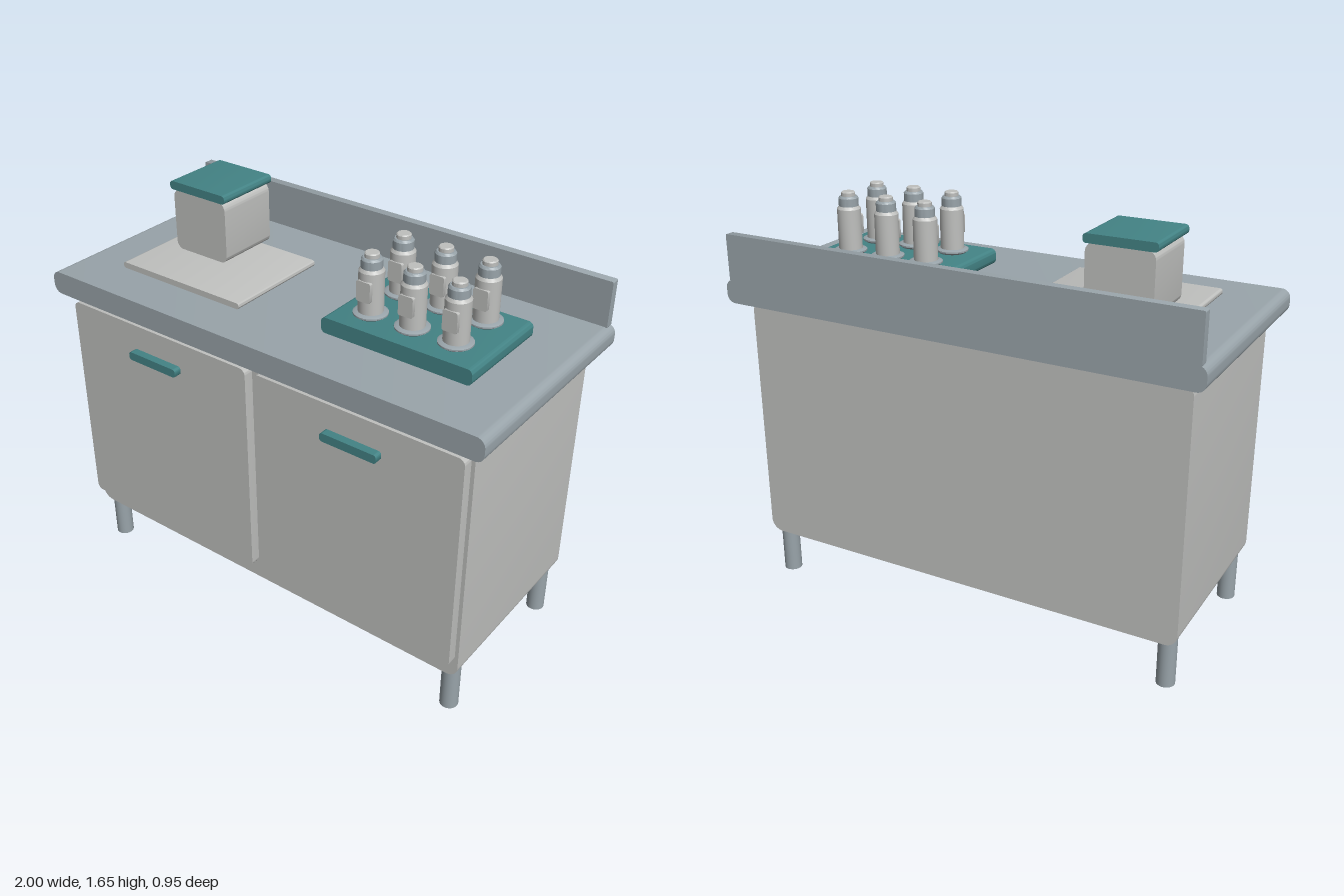
import * as THREE from 'three';
import { toCreasedNormals } from 'three/addons/utils/BufferGeometryUtils.js';

const material = (name, color) => {
  const m = new THREE.MeshStandardMaterial({ color });
  m.name = name;
  return m;
};

// Slab whose front outline has rounded corners, extruded straight along z
function slabGeometry(x0, x1, y0, y1, z0, z1, r) {
  const s = new THREE.Shape();
  s.moveTo(x0 + r, y0);
  s.absarc(x1 - r, y0 + r, r, -Math.PI / 2, 0, false);
  s.absarc(x1 - r, y1 - r, r, 0, Math.PI / 2, false);
  s.absarc(x0 + r, y1 - r, r, Math.PI / 2, Math.PI, false);
  s.absarc(x0 + r, y0 + r, r, Math.PI, Math.PI * 1.5, false);
  const g = new THREE.ExtrudeGeometry(s, { depth: z1 - z0, bevelEnabled: false, curveSegments: 6 });
  g.translate(0, 0, z0);
  return toCreasedNormals(g, 0.6);
}

function lathe(points) {
  const g = new THREE.LatheGeometry(points.map(([x, y]) => new THREE.Vector2(x, y)), 24);
  return toCreasedNormals(g, 0.5);
}

export function createModel() {
  const model = new THREE.Group();
  model.name = 'kitchenCounter';
  const pale = material('paleGrey', 0xbfc0be);
  const steel = material('steelGrey', 0x99a4aa);
  const teal = material('teal', 0x438385);

  const add = (name, geometry, mat, parent = model) => {
    const mesh = new THREE.Mesh(geometry, mat);
    mesh.name = name;
    parent.add(mesh);
    return mesh;
  };
  const slab = (name, mat, ...dims) => add(name, slabGeometry(...dims), mat);

  // Cabinet, worktop and splashback
  slab('cabinet', pale, -0.935, 0.935, 0.2, 1.245, -0.4, 0.4, 0.05);
  slab('worktop', steel, -1, 1, 1.245, 1.34, -0.472, 0.466, 0.035);
  slab('splashback', steel, -0.98, 0.98, 1.335, 1.525, -0.472, -0.436, 0.006);

  // Doors with handles, and legs
  const legGeometry = new THREE.CylinderGeometry(0.037, 0.037, 0.21, 24);
  for (const [side, s] of [['right', -1], ['left', 1]]) {
    const c = s * 0.47;
    slab(side + 'Door', pale, c - 0.45, c + 0.45, 0.277, 1.215, 0.4, 0.442, 0.025);
    slab(side + 'Handle', teal, c - 0.122, c + 0.122, 1.075, 1.11, 0.44, 0.475, 0.012);
    for (const z of [-0.347, 0.347]) {
      add(side + (z > 0 ? 'FrontLeg' : 'BackLeg'), legGeometry, steel).position.set(s * 0.882, 0.105, z);
    }
  }

  // Board with a lidded canister
  slab('board', pale, -0.79, -0.185, 1.34, 1.365, -0.195, 0.275, 0.01);
  slab('canister', pale, -0.71, -0.443, 1.363, 1.622, -0.228, 0.043, 0.035);
  slab('canisterLid', teal, -0.722, -0.437, 1.62, 1.655, -0.238, 0.05, 0.014);

  // Tray of six bottles
  slab('tray', teal, 0.165, 0.8, 1.342, 1.405, -0.2, 0.223, 0.02);
  const foot = lathe([[0, 1.405], [0.055, 1.405], [0.066, 1.413], [0.066, 1.419], [0.055, 1.424], [0, 1.424]]);
  const body = lathe([[0, 1.42], [0.048, 1.42], [0.048, 1.585], [0.039, 1.598], [0, 1.598]]);
  const collar = lathe([[0, 1.595], [0.04, 1.595], [0.04, 1.628], [0.034, 1.636], [0, 1.636]]);
  const cap = lathe([[0, 1.634], [0.028, 1.634], [0.028, 1.65], [0.024, 1.654], [0, 1.654]]);
  const label = slabGeometry(-0.03, 0.03, 1.476, 1.556, 0.03, 0.053, 0.008);
  for (const x of [0.3, 0.48, 0.66]) {
    for (const z of [-0.097, 0.103]) {
      const bottle = new THREE.Group();
      bottle.name = 'bottle';
      bottle.position.set(x, 0, z);
      add('bottleFoot', foot, steel, bottle);
      add('bottleBody', body, pale, bottle);
      add('bottleCollar', collar, steel, bottle);
      add('bottleCap', cap, pale, bottle);
      add('bottleLabel', label, pale, bottle);
      model.add(bottle);
    }
  }
  return model;
}
